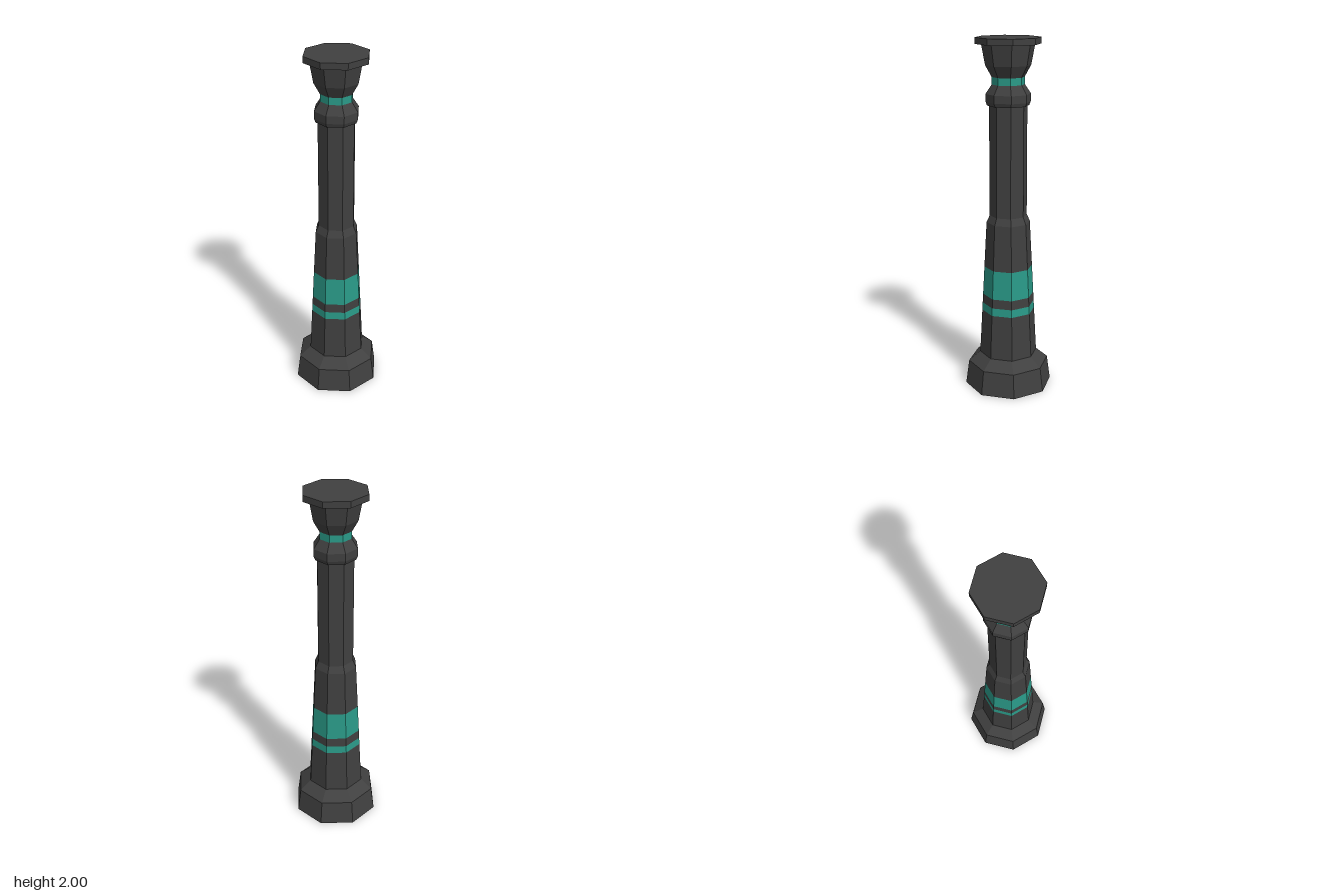
import * as THREE from 'three';

const dark = new THREE.MeshStandardMaterial({ color: 0x404040, flatShading: true });
const teal = new THREE.MeshStandardMaterial({ color: 0x2a9a88, flatShading: true });

// Eight-sided turned section; profile points are [radius, height] from bottom to top
function section(name, material, profile) {
  const points = profile.map(([r, y]) => new THREE.Vector2(r, y));
  const mesh = new THREE.Mesh(new THREE.LatheGeometry(points, 8), material);
  mesh.name = name;
  return mesh;
}

// Radius of the tapered lower shaft at a given height
const taper = (y) => THREE.MathUtils.mapLinear(y, 0.195, 0.98, 0.165, 0.123);
const ring = (y) => [taper(y), y];

export function createModel() {
  const group = new THREE.Group();
  group.name = 'column';

  group.add(
    // Flared foot with closed underside
    section('base', dark, [[0, 0], [0.25, 0], [0.231, 0.14], [0.165, 0.195]]),

    // Tapered lower shaft with two coloured bands
    section('lowerShaft', dark, [ring(0.195), ring(0.455)]),
    section('narrowBand', teal, [ring(0.455), ring(0.5)]),
    section('bandGap', dark, [ring(0.5), ring(0.553)]),
    section('wideBand', teal, [ring(0.553), ring(0.718)]),
    section('middleShaft', dark, [ring(0.718), ring(0.98), [0.105, 1.02]]),

    // Straight upper shaft
    section('upperShaft', dark, [[0.105, 1.02], [0.105, 1.637]]),

    // Bevelled collar and coloured neck
    section('collar', dark, [[0.105, 1.637], [0.116, 1.637], [0.124, 1.658], [0.124, 1.7], [0.09, 1.75]]),
    section('neckBand', teal, [[0.09, 1.75], [0.09, 1.79]]),

    // Flared capital and flat top slab
    section('capital', dark, [[0.09, 1.79], [0.125, 1.853], [0.146, 1.965]]),
    section('topSlab', dark, [[0.146, 1.965], [0.18, 1.965], [0.18, 2], [0, 2]])
  );
  return group;
}
